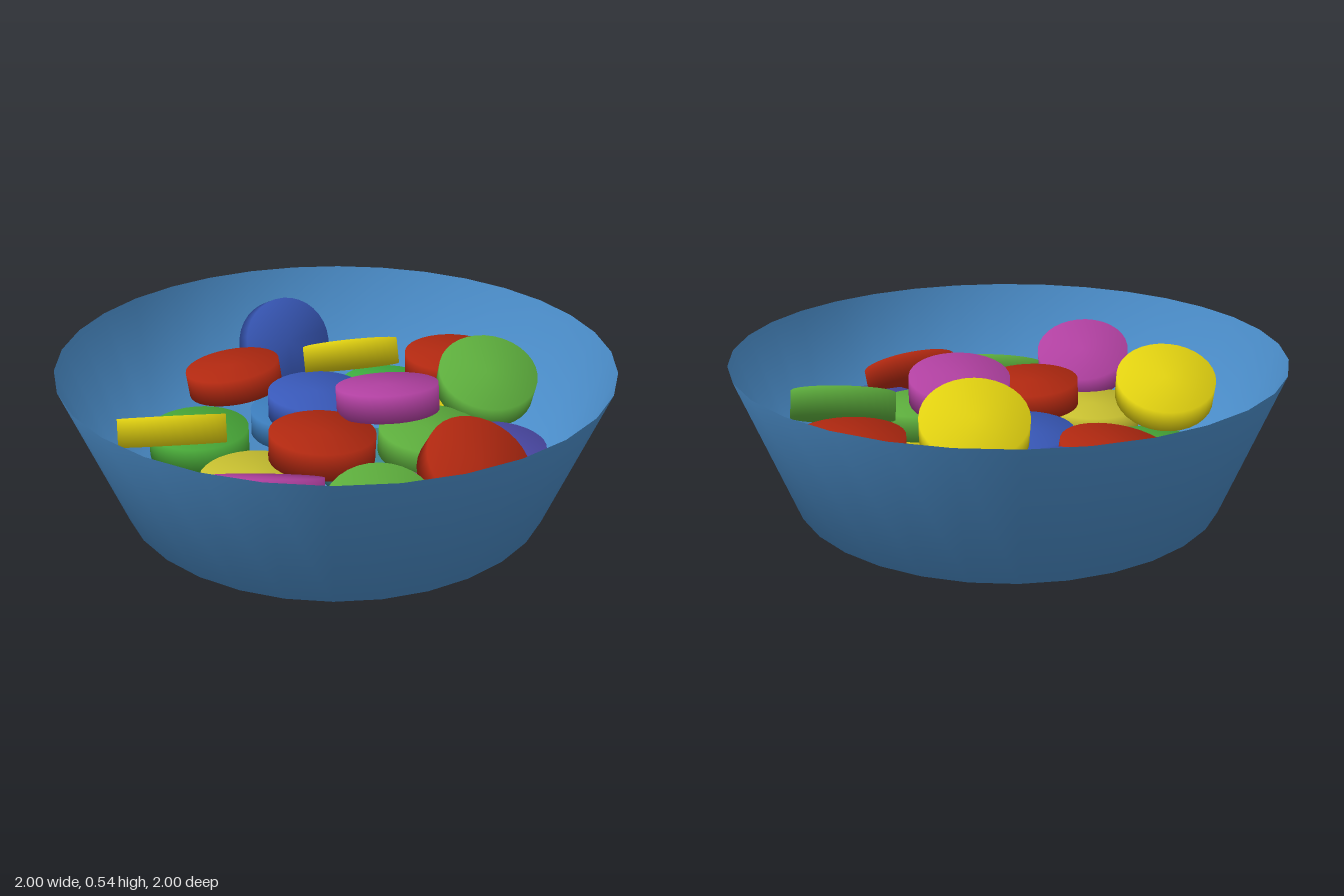
import * as THREE from 'three';

const RED = 0xb02810, YELLOW = 0xe0d010, MAGENTA = 0xb040a0, BLUE = 0x3858b8, GREEN = 0x5cac3c;
const UP = new THREE.Vector3(0, 1, 0);

// Each sweet: colour, centre, direction its flat face points
const SWEETS = [
  // bottom layer
  [0x3fae40, [-0.27, 0.10, -0.56], [0, 1, 0]],
  [YELLOW, [0.13, 0.12, -0.45], [0, 1, 0]],
  [0x3a7ab8, [-0.36, 0.09, -0.13], [0, 1, 0]],
  [0x3f8a9a, [0.09, 0.08, -0.09], [0, 1, 0]],
  [0x4c4aa8, [0.52, 0.19, -0.29], [0, 1, 0]],
  [0x48a838, [-0.40, 0.15, 0.34], [0, 1, 0]],
  [0xc8c030, [0.05, 0.16, 0.45], [0, 1, 0]],
  [MAGENTA, [0.43, 0.14, 0.19], [0, 1, 0]],
  // middle layer
  [BLUE, [-0.19, 0.24, -0.08], [0, 1, 0]],
  [GREEN, [0.31, 0.22, -0.18], [0.05, 1, 0]],
  [RED, [0.145, 0.28, 0.21], [0, 1, -0.05]],
  [RED, [-0.56, 0.27, -0.03 + 0.06], [-0.11, 0.98, 0.07]],
  [RED, [0, 0.29, -0.665], [0, 1, 0.03]],
  // top layer, tilted
  [YELLOW, [-0.23, 0.36, -0.31], [-0.38, 0.89, -0.23]],
  [MAGENTA, [0.15, 0.36, -0.12], [-0.17, 0.97, -0.08]],
  [GREEN, [0.28, 0.34, -0.54], [0.35, 0.9, 0.26]],
  [RED, [0.63, 0.27, -0.04], [0.52, 0.84, 0.11]],
  [GREEN, [0.57, 0.22, 0.36], [0.32, 0.9, 0.29]],
  [YELLOW, [-0.23, 0.33, 0.58], [-0.35, 0.9, -0.27]],
  [MAGENTA, [0.30, 0.31, 0.61], [-0.3, 0.9, -0.32]],
  // leaning against the wall
  [BLUE, [-0.69, 0.27, -0.36], [0.86, 0.42, 0.27]],
];

function lathe(points, segments) {
  return new THREE.LatheGeometry(points.map(([x, y]) => new THREE.Vector2(x, y)), segments);
}

export function createModel() {
  const model = new THREE.Group();
  model.name = 'bowlOfSweets';

  // Thin open bowl with a flat floor
  const bowl = new THREE.Mesh(
    lathe([[0, 0], [0.8, 0], [1, 0.535]], 32),
    new THREE.MeshStandardMaterial({ color: 0x4a8cc8, side: THREE.DoubleSide })
  );
  bowl.name = 'bowl';
  model.add(bowl);

  // Flat round sweets, shaded smoothly over their edges
  const R = 0.19, H = 0.05;
  const disc = lathe([[0, -H], [R, -H], [R, H], [0, H]], 32);
  const sweets = new THREE.Group();
  sweets.name = 'sweets';
  SWEETS.forEach(([color, centre, facing], i) => {
    const sweet = new THREE.Mesh(disc, new THREE.MeshStandardMaterial({ color }));
    sweet.name = `sweet${i + 1}`;
    sweet.position.set(...centre);
    sweet.quaternion.setFromUnitVectors(UP, new THREE.Vector3(...facing).normalize());
    sweets.add(sweet);
  });
  model.add(sweets);
  return model;
}
